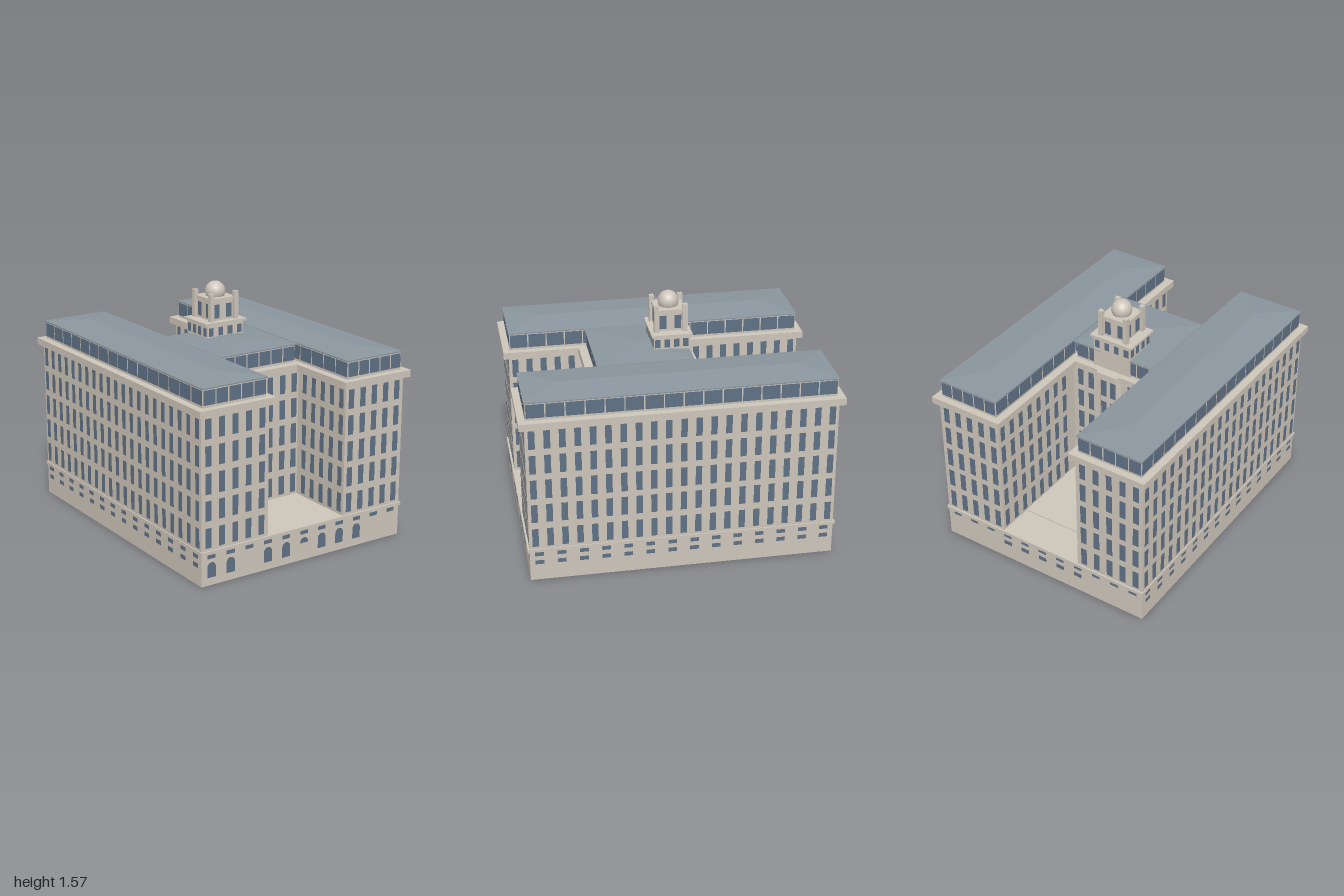
import * as THREE from 'three';
import { mergeGeometries } from 'three/addons/utils/BufferGeometryUtils.js';

const mat = (name, color) => new THREE.MeshStandardMaterial({ name, color });

export function createModel() {
  const stone = mat('stone', 0xcdc5ba);
  const glass = mat('glass', 0x5f7185);
  const slate = mat('slate', 0x8a959d);
  const model = new THREE.Group();

  const add = (name, geo, material, parent = model) => {
    const m = new THREE.Mesh(geo, material);
    m.name = name;
    parent.add(m);
    return m;
  };
  // Box given by its limits on each axis
  const boxGeo = (x0, x1, y0, y1, z0, z1) =>
    new THREE.BoxGeometry(x1 - x0, y1 - y0, z1 - z0).translate((x0 + x1) / 2, (y0 + y1) / 2, (z0 + z1) / 2);
  const box = (name, ...l) => add(name, boxGeo(...l), stone);

  const spread = (a, b, n) => Array.from({ length: n }, (_, i) => a + (b - a) * i / (n - 1));

  // Facade directions: yaw, and the sign of the outward offset
  const FRONT = { yaw: 0, s: 1 }, BACK = { yaw: Math.PI, s: -1 };
  const LEFT = { yaw: Math.PI / 2, s: 1, side: true }, RIGHT = { yaw: -Math.PI / 2, s: -1, side: true };
  const place = (geo, dir, u, y, d) => {
    const o = d + dir.s * 0.002;
    geo.rotateY(dir.yaw);
    return dir.side ? geo.translate(o, y, u) : geo.translate(u, y, o);
  };
  // A grid of panes on one facade: centres us, rows of [bottom, top]
  const windows = (name, dir, d, us, rows, w) => {
    const list = [];
    for (const [y0, y1] of rows)
      for (const u of us) list.push(place(new THREE.PlaneGeometry(w, y1 - y0), dir, u, (y0 + y1) / 2, d));
    add(name, mergeGeometries(list), glass);
  };
  const arch = (w, h) => {
    const s = new THREE.Shape();
    s.moveTo(-w / 2, 0);
    s.lineTo(w / 2, 0);
    s.lineTo(w / 2, h - w / 2);
    s.absarc(0, h - w / 2, w / 2, 0, Math.PI);
    return new THREE.ShapeGeometry(s, 8);
  };
  // Continuous strip of panes from a to b
  const strip = (name, dir, d, a, b, n, y0, y1) => {
    const p = (b - a) / n;
    windows(name, dir, d, spread(a + p / 2, b - p / 2, n), [[y0, y1]], p - 0.008);
  };
  // Low hipped roof with a ridge along z
  const hipRoof = (name, x0, x1, z0, z1, y, top, inset) => {
    const xm = (x0 + x1) / 2;
    const a = [x0, y, z0], b = [x1, y, z0], c = [x1, y, z1], d = [x0, y, z1];
    const p = [xm, top, z0 + inset], q = [xm, top, z1 - inset];
    const tris = [a, p, b, d, c, q, a, d, q, a, q, p, c, b, p, c, p, q];
    const g = new THREE.BufferGeometry();
    g.setAttribute('position', new THREE.Float32BufferAttribute(tris.flat(), 3));
    g.computeVertexNormals();
    add(name, g, slate);
    add(name + 'Eave', boxGeo(x0, x1, y - 0.008, y, z0, z1), slate);
  };

  const floors = [[0.24, 0.365], [0.41, 0.535], [0.575, 0.705], [0.747, 0.873], [0.915, 1.038]];
  const sideZ = spread(-0.925, 0.925, 21);

  // Hollow plinth, its ceiling and the ledge above it
  box('plinthFront', -0.755, 0.75, 0, 0.2, 0.955, 0.965);
  box('plinthBack', -0.755, 0.75, 0, 0.2, -0.965, -0.955);
  box('plinthRight', -0.755, -0.745, 0, 0.2, -0.955, 0.955);
  box('plinthLeft', 0.74, 0.75, 0, 0.2, -0.955, 0.955);
  box('plinthCeiling', -0.745, 0.74, 0.16, 0.2, -0.955, 0.955);
  box('ledge', -0.762, 0.757, 0.2, 0.222, -0.977, 0.977);
  box('rearTerrace', -0.275, 0.295, 0.222, 0.228, -0.73, -0.19);

  // Plinth windows
  const baseX = spread(-0.685, 0.68, 11);
  windows('frontPlinthWindows', FRONT, 0.965, baseX, [[0.17, 0.198]], 0.058);
  windows('backPlinthWindows', BACK, -0.965, baseX, [[0.17, 0.198]], 0.058);
  windows('backLowerPlinthWindows', BACK, -0.965, baseX.filter((_, i) => i > 2 && i < 8), [[0.11, 0.14]], 0.058);
  const arches = [0, 1, 3, 4, 6, 7, 8].map(i => place(arch(0.06, 0.097), FRONT, baseX[i], 0.05, 0.965));
  arches.push(place(arch(0.06, 0.035), FRONT, baseX[5], 0.113, 0.965));
  add('archedWindows', mergeGeometries(arches), glass);
  const baseZ = spread(-0.905, 0.905, 14), baseRows = [[0.17, 0.198], [0.112, 0.14]];
  windows('leftPlinthWindows', LEFT, 0.75, baseZ, baseRows, 0.055);
  windows('rightPlinthWindows', RIGHT, -0.755, baseZ, baseRows, 0.055);

  // Two long wings
  const wings = [
    { n: 'right', x: [-0.755, -0.277], c: [-0.785, -0.25], a: [-0.737, -0.292], w: [-0.707, -0.327], out: RIGHT, inn: LEFT },
    { n: 'left', x: [0.297, 0.75], c: [0.265, 0.78], a: [0.315, 0.733], w: [0.34, 0.7], out: LEFT, inn: RIGHT },
  ];
  for (const { n, x, c, a, w, out, inn } of wings) {
    const o = n === 'left' ? 1 : 0, i = 1 - o;
    box(n + 'Wing', ...x, 0.222, 1.06, -0.965, 0.965);
    box(n + 'Cornice', ...c, 1.055, 1.1, -1, 1);
    box(n + 'Attic', ...a, 1.1, 1.215, -0.955, 0.955);
    hipRoof(n + 'Roof', a[0] - 0.007, a[1] + 0.007, -0.962, 0.962, 1.22, 1.243, 0.22);
    const us = spread(...w, 5);
    windows(n + 'WingFrontWindows', FRONT, 0.965, us, floors, 0.042);
    windows(n + 'WingBackWindows', BACK, -0.965, us, floors, 0.042);
    windows(n + 'WingOuterWindows', out, x[o], sideZ, floors, 0.04);
    windows(n + 'WingCourtWindows', inn, x[i], sideZ.filter(z => z > 0.5 || z < -0.19), floors, 0.04);
    strip(n + 'AtticFrontPanes', FRONT, 0.955, ...a, 5, 1.115, 1.205);
    strip(n + 'AtticBackPanes', BACK, -0.955, ...a, 5, 1.115, 1.205);
    strip(n + 'AtticOuterPanes', out, a[o], -0.955, 0.955, 16, 1.115, 1.205);
    strip(n + 'AtticCourtPanes', inn, a[i], -0.955, 0.955, 16, 1.115, 1.205);
  }

  // Central block joining the wings
  box('centreBlock', -0.277, 0.297, 0.222, 1.06, -0.165, 0.485);
  box('centreCornice', -0.25, 0.265, 1.055, 1.1, -0.19, 0.51);
  box('centreAttic', -0.263, 0.283, 1.1, 1.215, -0.14, 0.455);
  hipRoof('centreRoof', -0.283, 0.303, -0.15, 0.465, 1.22, 1.24, 0.3);
  const midX = [-0.23, -0.175, -0.075, 0.015, 0.077, 0.172, 0.262];
  windows('centreFrontWindows', FRONT, 0.485, midX, floors, 0.042);
  windows('centreBackWindows', BACK, -0.165, [-0.22, -0.14, 0.16, 0.24], floors, 0.042);
  strip('centreAtticFrontPanes', FRONT, 0.455, -0.263, 0.283, 6, 1.115, 1.205);
  strip('centreAtticBackPanes', BACK, -0.14, -0.263, 0.283, 6, 1.115, 1.205);

  // Shallow canted bay on the rear of the central block
  const bay = (name, x, e, z, y0, y1) => {
    const s = new THREE.Shape([[-x - e, 0.16], [x + e, 0.16], [x, -z], [-x, -z]].map(p => new THREE.Vector2(p[0] + 0.01, -p[1])));
    add(name, new THREE.ExtrudeGeometry(s, { depth: y1 - y0, bevelEnabled: false }).rotateX(-Math.PI / 2).translate(0, y0, 0), stone);
  };
  const bayShape = (name, half, flare, zBack, y0, y1) => {
    const pts = [[-half - flare, -0.16], [half + flare, -0.16], [half, zBack], [-half, zBack]];
    const s = new THREE.Shape(pts.map(([x, z]) => new THREE.Vector2(x + 0.01, -z)));
    const g = new THREE.ExtrudeGeometry(s, { depth: y1 - y0, bevelEnabled: false });
    add(name, g.rotateX(-Math.PI / 2).translate(0, y0, 0), stone);
  };
  bayShape('rearBay', 0.06, 0.025, -0.19, 0.222, 1.06);
  bayShape('rearBayCornice', 0.07, 0.035, -0.215, 1.055, 1.1);
  windows('rearBayWindows', BACK, -0.19, [-0.025, 0.045], floors, 0.042);

  // Tower: lower stage, ledge, upper stage, corner posts and globe
  const tx = 0.01, tz = -0.035;
  const tier = (name, half, y0, y1, hz = half) => box(name, tx - half, tx + half, y0, y1, tz - hz, tz + hz);
  tier('towerBase', 0.137, 1.1, 1.315, 0.115);
  tier('towerLedge', 0.155, 1.315, 1.33, 0.13);
  tier('towerBody', 0.085, 1.33, 1.465);
  tier('towerCap', 0.096, 1.462, 1.475);
  for (const sx of [-1, 1]) for (const sz of [-1, 1]) {
    const x = tx + sx * 0.092, z = tz + sz * 0.092;
    box('towerPost', x - 0.015, x + 0.015, 1.33, 1.51, z - 0.015, z + 0.015);
  }
  add('globe', new THREE.SphereGeometry(0.066, 20, 14).translate(tx, 1.504, tz), stone);
  for (const [n, dir] of Object.entries({ front: FRONT, back: BACK, left: LEFT, right: RIGHT })) {
    const c = dir.side ? tz : tx, d = dir.side ? tx : tz, k = dir.side ? 0.83 : 1;
    windows(n + 'TowerBaseWindows', dir, d + dir.s * (dir.side ? 0.137 : 0.115),
      [-0.108, -0.036, 0.036, 0.108].map(u => c + u * k), [[1.24, 1.295]], 0.036);
    windows(n + 'TowerWindows', dir, d + dir.s * 0.085, [c - 0.047, c + 0.047], [[1.345, 1.435]], 0.044);
  }
  return model;
}
